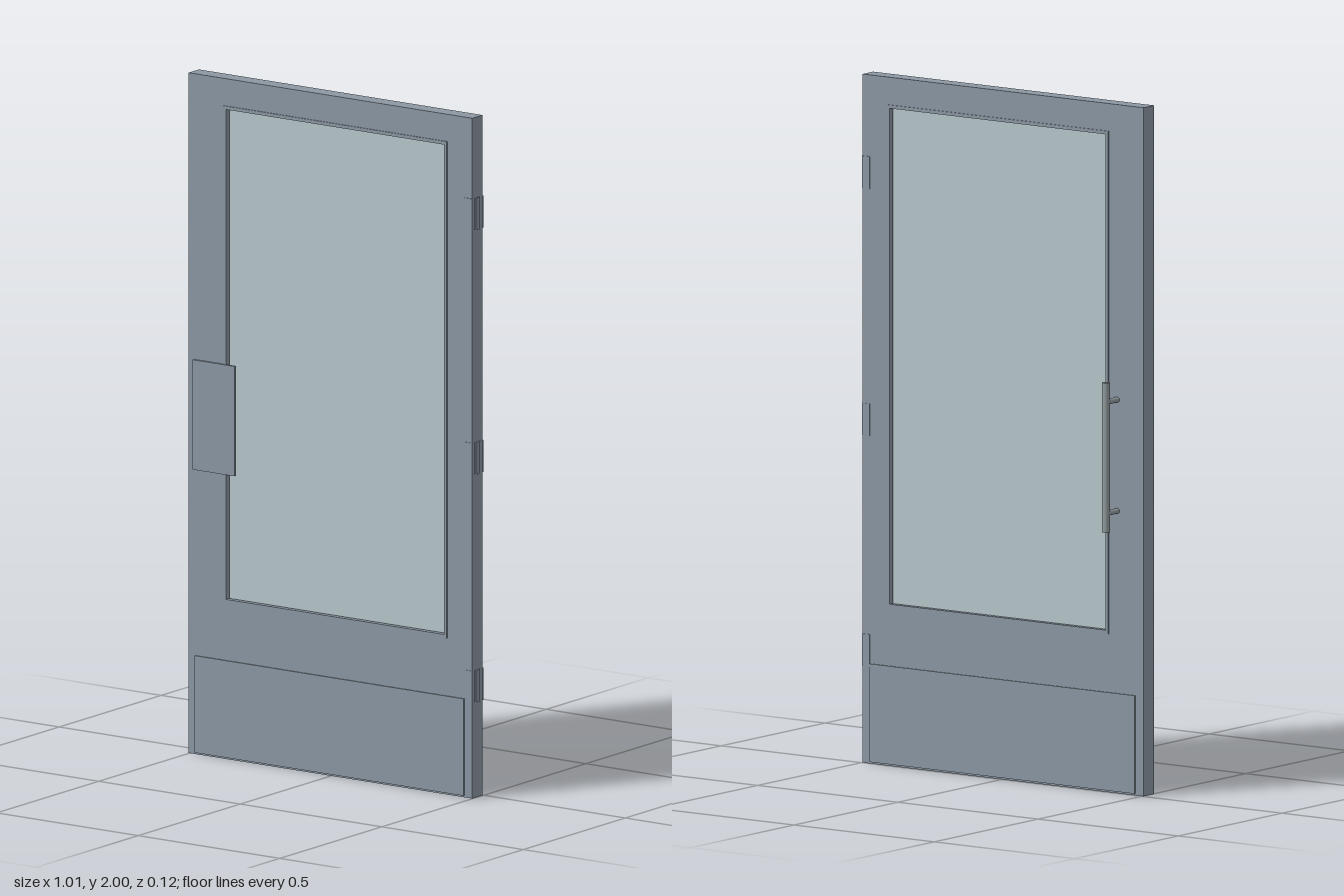
import * as THREE from 'three';

const steel = new THREE.MeshStandardMaterial({ color: 0x8c98a4 });
steel.name = 'blue grey steel';
const glassMat = new THREE.MeshStandardMaterial({ color: 0xb8c8cc });
glassMat.name = 'pale glass';
const handleMat = new THREE.MeshStandardMaterial({ color: 0x929c9f });
handleMat.name = 'handle grey';

const BACK = 0.003, FRONT = 0.054;

export function createModel() {
  const door = new THREE.Group();
  door.name = 'door';

  const add = (name, geometry, material, parent = door) => {
    const mesh = new THREE.Mesh(geometry, material);
    mesh.name = name;
    parent.add(mesh);
    return mesh;
  };
  // Box given by its limits on each axis
  const box = (name, [x0, x1], [y0, y1], [z0, z1], material = steel, parent = door) => {
    const m = add(name, new THREE.BoxGeometry(x1 - x0, y1 - y0, z1 - z0), material, parent);
    m.position.set((x0 + x1) / 2, (y0 + y1) / 2, (z0 + z1) / 2);
    return m;
  };
  // Rectangular frame with a rectangular opening
  const frame = (name, [x0, x1, y0, y1], [a0, a1, b0, b1], z0, z1) => {
    const shape = new THREE.Shape();
    shape.moveTo(x0, y0).lineTo(x1, y0).lineTo(x1, y1).lineTo(x0, y1).closePath();
    const hole = new THREE.Path();
    hole.moveTo(a0, b0).lineTo(a0, b1).lineTo(a1, b1).lineTo(a1, b0).closePath();
    shape.holes.push(hole);
    const m = add(name, new THREE.ExtrudeGeometry(shape, { depth: z1 - z0, bevelEnabled: false }), steel);
    m.position.z = z0;
  };

  // Leaf, glazing beads and glass
  frame('doorLeaf', [-0.504, 0.498, 0, 2], [-0.375, 0.405, 0.465, 1.915], BACK, FRONT);
  const opening = [-0.37, 0.4, 0.47, 1.91];
  const beadEdge = [-0.38, 0.41, 0.46, 1.92];
  frame('frontGlazingBead', beadEdge, opening, 0.04, FRONT + 0.003);
  frame('backGlazingBead', beadEdge, opening, BACK - 0.003, 0.016);
  box('glassPane', [-0.374, 0.404], [0.466, 1.914], [0.022, 0.034], glassMat);

  // Kick plates and push plate
  box('frontKickPlate', [-0.48, 0.47], [0.005, 0.29], [FRONT - 0.001, FRONT + 0.004]);
  box('backKickPlate', [-0.475, 0.47], [0.005, 0.29], [BACK - 0.004, BACK + 0.001]);
  box('pushPlate', [-0.485, -0.337], [0.837, 1.16], [FRONT - 0.001, FRONT + 0.007]);

  // Hinges: leaves wrapped round the edge with a small knuckle
  for (const y of [0.328, 0.998, 1.716]) {
    const hinge = new THREE.Group();
    hinge.name = 'hinge';
    hinge.position.y = y;
    door.add(hinge);
    const h = [-0.047, 0.047];
    box('hingeFrontLeaf', [0.472, 0.4995], h, [FRONT - 0.001, FRONT + 0.002], steel, hinge);
    box('hingeBackLeaf', [0.472, 0.4995], h, [BACK - 0.002, BACK + 0.001], steel, hinge);
    box('hingeEdgeLeaf', [0.497, 0.4995], h, [0.015, 0.042], steel, hinge);
    const pin = add('hingeKnuckle', new THREE.CylinderGeometry(0.006, 0.006, 0.094, 12), steel, hinge);
    pin.position.set(0.498, 0, 0.028);
  }

  // Pull handle on the back
  const handle = new THREE.Group();
  handle.name = 'pullHandle';
  handle.position.x = -0.41;
  door.add(handle);
  const bar = add('handleBar', new THREE.CylinderGeometry(0.011, 0.011, 0.435, 24), handleMat, handle);
  bar.position.set(0, 0.9825, -0.051);
  for (const y of [0.82, 1.143]) {
    const post = add('handlePost', new THREE.CylinderGeometry(0.008, 0.008, 0.056, 16), handleMat, handle);
    post.rotation.x = Math.PI / 2;
    post.position.set(0, y, -0.023);
  }
  return door;
}
